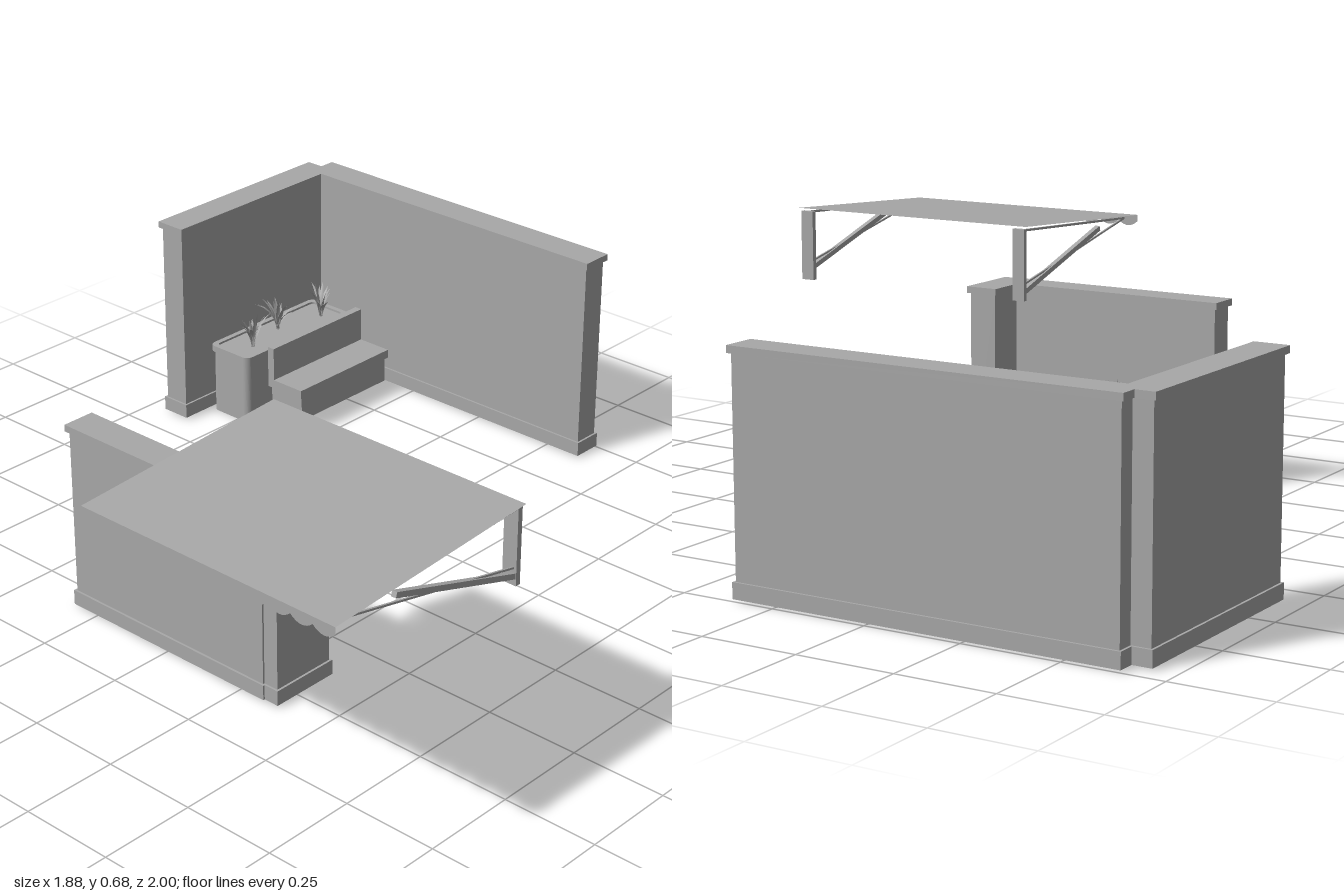
import * as THREE from 'three';

const grey = new THREE.MeshStandardMaterial({ color: 0xa8a8a8 });
grey.name = 'plain grey';
const greySheet = new THREE.MeshStandardMaterial({ color: 0xa8a8a8, side: THREE.DoubleSide });
greySheet.name = 'plain grey sheet';

export function createModel() {
  const model = new THREE.Group();
  model.name = 'cafeTerrace';

  const add = (name, geometry, parent = model, material = grey) => {
    const mesh = new THREE.Mesh(geometry, material);
    mesh.name = name;
    parent.add(mesh);
    return mesh;
  };
  const group = (name) => {
    const g = new THREE.Group();
    g.name = name;
    model.add(g);
    return g;
  };
  // box given by its extents
  const box = (name, x0, x1, y0, y1, z0, z1, parent) => {
    const m = add(name, new THREE.BoxGeometry(x1 - x0, y1 - y0, z1 - z0), parent);
    m.position.set((x0 + x1) / 2, (y0 + y1) / 2, (z0 + z1) / 2);
    return m;
  };
  const cylinder = (name, rTop, rBottom, y0, y1, x, z, parent) => {
    const m = add(name, new THREE.CylinderGeometry(rTop, rBottom, y1 - y0, 32), parent);
    m.position.set(x, (y0 + y1) / 2, z);
    return m;
  };
  // straight square bar between two points
  const bar = (name, a, b, w, parent) => {
    const d = b.clone().sub(a);
    const m = add(name, new THREE.BoxGeometry(w, w, d.length()), parent);
    m.position.copy(a).add(b).multiplyScalar(0.5);
    m.lookAt(b);
  };

  // Walls: core, overhanging cap and skirting
  const wall = (name, x0, x1, z0, z1, h) => {
    const g = group(name);
    const i = 0.008;
    box('wallCore', x0 + i, x1 - i, 0.005, h - 0.018, z0 + i, z1 - i, g);
    box('wallCap', x0, x1, h - 0.018, h, z0, z1, g);
    box('wallSkirting', x0 + 0.002, x1 - 0.002, 0.005, 0.045, z0 + 0.002, z1 - 0.002, g);
  };
  wall('backWall', -0.895, 0.115, -1, -0.91, 0.588);
  wall('sideWall', -0.945, -0.855, -0.955, -0.34, 0.588);
  wall('frontWall', -0.33, 0.33, 0.49, 0.58, 0.51);
  wall('frontWallReturn', 0.28, 0.372, 0.38, 0.575, 0.51);

  // Plant: arching pointed leaves around a centre
  const leaf = (length, width, lean) => {
    const rows = 5, pos = [], index = [];
    for (let i = 0; i <= rows; i++) {
      const t = i / rows;
      const w = width * Math.sin(Math.PI * (0.12 + 0.88 * t));
      const out = length * lean * t * t + 0.004;
      const up = length * (t - 0.35 * lean * t * t * t);
      pos.push(out, up, -w, out - w * 0.4, up, 0, out, up, w);
      if (i < rows) {
        const k = i * 3;
        for (const j of [k, k + 1]) index.push(j, j + 3, j + 1, j + 1, j + 3, j + 4);
      }
    }
    const g = new THREE.BufferGeometry();
    g.setAttribute('position', new THREE.Float32BufferAttribute(pos, 3));
    g.setIndex(index);
    g.computeVertexNormals();
    return g;
  };
  const plant = (x, y, z, turn) => {
    const g = group('plant');
    g.position.set(x, y, z);
    g.rotation.y = turn;
    for (let i = 0; i < 16; i++) {
      const length = 0.07 + 0.045 * ((i * 7) % 5) / 4;
      const lean = 0.15 + 0.45 * ((i * 3) % 4) / 3;
      add('leaf', leaf(length, 0.006, lean), g, greySheet).rotation.y = i * 2.4;
    }
  };

  // Planter: rounded box, open rim and soil
  const roundedRect = (path, w, d, r) => {
    const x = w / 2, y = d / 2;
    path.moveTo(-x + r, -y).lineTo(x - r, -y).absarc(x - r, -y + r, r, -Math.PI / 2, 0)
      .lineTo(x, y - r).absarc(x - r, y - r, r, 0, Math.PI / 2)
      .lineTo(-x + r, y).absarc(-x + r, y - r, r, Math.PI / 2, Math.PI)
      .lineTo(-x, -y + r).absarc(-x + r, -y + r, r, Math.PI, Math.PI * 1.5);
    return path;
  };
  const slab = (shape, y0, y1) => new THREE.ExtrudeGeometry(shape, { depth: y1 - y0, bevelEnabled: false, curveSegments: 6 })
    .rotateX(-Math.PI / 2).translate(0, y0, 0);
  const planter = (x0, x1, z0, z1, h) => {
    const g = group('planter');
    g.position.set((x0 + x1) / 2, 0, (z0 + z1) / 2);
    const w = x1 - x0, d = z1 - z0;
    add('planterBody', slab(roundedRect(new THREE.Shape(), w - 0.01, d - 0.01, 0.02), 0, h - 0.018), g);
    const rim = roundedRect(new THREE.Shape(), w, d, 0.02);
    rim.holes.push(roundedRect(new THREE.Path(), w - 0.03, d - 0.03, 0.012));
    add('planterRim', slab(rim, h - 0.018, h), g);
    add('soil', slab(roundedRect(new THREE.Shape(), w - 0.03, d - 0.03, 0.012), h - 0.018, h - 0.006), g);
  };
  planter(-0.855, -0.705, -0.87, -0.44, 0.205);
  [[-0.76, -0.805], [-0.79, -0.655], [-0.76, -0.52]].forEach(([x, z], i) => plant(x, 0.2, z, i * 1.3));
  planter(-0.315, -0.04, 0.34, 0.482, 0.2);
  [[-0.25, 0.425], [-0.11, 0.39]].forEach(([x, z], i) => plant(x, 0.195, z, i * 2 + 0.5));

  // Bench
  const bench = group('bench');
  box('benchBase', -0.675, -0.56, 0.035, 0.108, -0.862, -0.508, bench);
  box('benchSeat', -0.682, -0.555, 0.108, 0.133, -0.87, -0.5, bench);
  box('benchBackrest', -0.682, -0.66, 0.133, 0.23, -0.87, -0.5, bench);

  // Round table with a cup
  const table = group('table');
  const tx = -0.36, tz = -0.225;
  cylinder('tableTop', 0.087, 0.087, 0.152, 0.166, tx, tz, table);
  cylinder('tableStem', 0.013, 0.013, 0.02, 0.152, tx, tz, table);
  cylinder('tableFoot', 0.045, 0.05, 0.01, 0.024, tx, tz, table);
  cylinder('cup', 0.018, 0.014, 0.166, 0.195, tx - 0.003, tz - 0.022, table);
  const handle = add('cupHandle', new THREE.TorusGeometry(0.008, 0.002, 8, 16), table);
  handle.position.set(tx - 0.003, 0.182, tz - 0.04);
  handle.rotation.y = Math.PI / 2;

  // Awning: sloped fabric sheet and scalloped valance
  const awning = group('awning');
  const ax0 = 0.19, ax1 = 0.94;
  const fabric = new THREE.PlaneGeometry(ax1 - ax0, 0.61, 1, 8).rotateX(-Math.PI / 2);
  const p = fabric.attributes.position;
  for (let i = 0; i < p.count; i++) {
    const t = p.getZ(i) / 0.61 + 0.5;
    p.setXYZ(i, p.getX(i) + (ax0 + ax1) / 2, 0.684 - 0.036 * t, 0.388 + 0.61 * t);
  }
  fabric.computeVertexNormals();
  add('awningFabric', fabric, awning, greySheet);

  const scallops = 12, sw = (ax1 - ax0) / scallops;
  const edge = new THREE.Shape();
  edge.moveTo(ax1, 0.648).lineTo(ax0, 0.648).lineTo(ax0, 0.63);
  for (let i = 0; i < scallops; i++) {
    const x = ax0 + i * sw;
    edge.quadraticCurveTo(x + sw / 2, 0.602, x + sw, 0.63);
  }
  add('valance', new THREE.ShapeGeometry(edge, 8).translate(0, 0, 0.998), awning, greySheet);

  // Awning frame on both sides
  for (const [x0, x1, xa] of [[0.197, 0.233, 0.207], [0.893, 0.932, 0.923]]) {
    const v = (y, z) => new THREE.Vector3(xa, y, z);
    box('awningPost', x0, x1, 0.482, 0.676, 0.39, 0.404, awning);
    bar('awningArm', v(0.672, 0.4), v(0.644, 0.945), 0.006, awning);
    bar('awningTie', v(0.525, 0.4), v(0.643, 0.945), 0.005, awning);
    bar('awningStrut', v(0.505, 0.4), v(0.632, 0.8), 0.014, awning);
  }

  return model;
}
